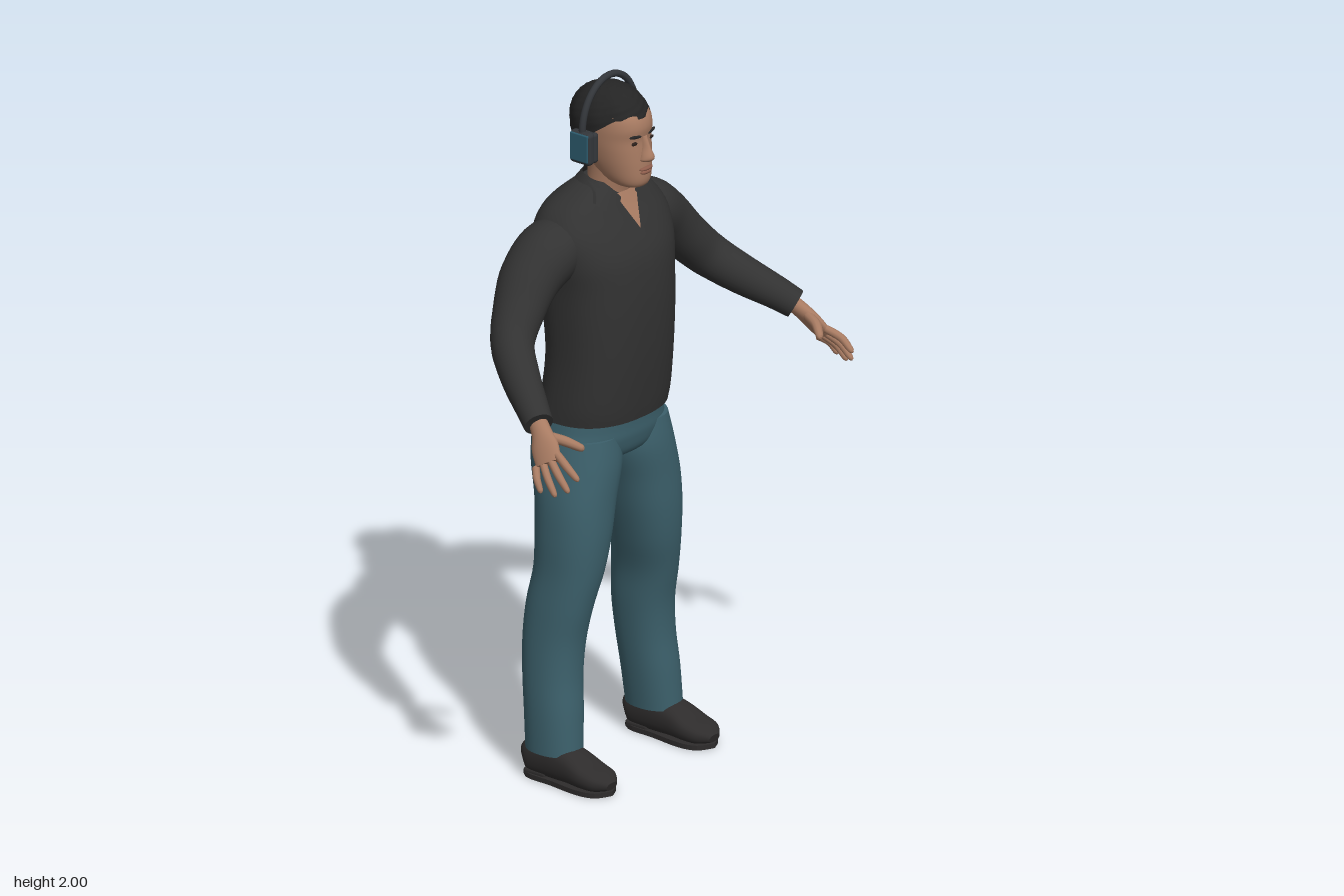
import * as THREE from 'three';
import { RoundedBoxGeometry } from 'three/addons/geometries/RoundedBoxGeometry.js';

const V = (x, y, z) => new THREE.Vector3(x, y, z);
const paint = (name, color) => Object.assign(new THREE.MeshStandardMaterial({ color }), { name });

// Smooth in-between rows of a table of section values
function smooth(rows, steps = 5) {
  const out = [];
  for (let i = 0; i < rows.length - 1; i++) {
    const a = rows[Math.max(i - 1, 0)], b = rows[i], c = rows[i + 1], d = rows[Math.min(i + 2, rows.length - 1)];
    for (let k = 0; k < steps; k++) {
      const t = k / steps;
      out.push(b.map((p, j) => {
        const cubic = 3 * (p - c[j]) + d[j] - a[j];
        const square = 2 * a[j] - 5 * p + 4 * c[j] - d[j];
        return p + 0.5 * t * (c[j] - a[j] + t * (square + t * cubic));
      }));
    }
  }
  out.push(rows[rows.length - 1]);
  return out;
}

function finish(pos, idx) {
  const g = new THREE.BufferGeometry();
  g.setAttribute('position', new THREE.Float32BufferAttribute(pos, 3));
  g.setIndex(idx);
  g.computeVertexNormals();
  return g;
}

// Skin over closed rings of points, with end caps
function skinRings(rings) {
  const n = rings[0].length, pos = [], idx = [];
  rings.forEach(r => r.forEach(p => pos.push(p.x, p.y, p.z)));
  for (let i = 0; i < rings.length - 1; i++) for (let j = 0; j < n; j++) {
    const a = i * n + j, b = i * n + (j + 1) % n;
    idx.push(a, b, b + n, a, b + n, a + n);
  }
  [rings[0], rings[rings.length - 1]].forEach((ring, end) => {
    const c = ring.reduce((s, p) => s.add(p), V(0, 0, 0)).divideScalar(n), base = pos.length / 3;
    [...ring, c].forEach(p => pos.push(p.x, p.y, p.z));
    for (let j = 0; j < n; j++) {
      const k = (j + 1) % n;
      idx.push(base + n, base + (end ? j : k), base + (end ? k : j));
    }
  });
  return finish(pos, idx);
}

const round = (c, e) => Math.sign(c) * Math.abs(c) ** (2 / e);

// Upright loft; rows are [y, centre x, half width, z front, z back]
function loft(rows, e = 2.3, n = 36) {
  return skinRings(smooth(rows).map(([y, cx, rx, zf, zb]) => Array.from({ length: n }, (_, j) => {
    const a = j / n * Math.PI * 2;
    return V(cx + rx * round(Math.sin(a), e), y, (zf + zb) / 2 + (zf - zb) / 2 * round(Math.cos(a), e));
  })));
}

// Limb along a path; rows are [x, y, z, half width, half height]
function limb(rows, { up = V(0, 1, 0), e = 2, n = 20, floor = -9 } = {}) {
  const s = smooth(rows);
  return skinRings(s.map((r, i) => {
    const p = s[Math.max(i - 1, 0)], q = s[Math.min(i + 1, s.length - 1)];
    const t = V(q[0] - p[0], q[1] - p[1], q[2] - p[2]).normalize();
    const e1 = t.clone().cross(up).normalize(), e2 = t.clone().cross(e1);
    return Array.from({ length: n }, (_, j) => {
      const a = j / n * Math.PI * 2;
      const v = V(r[0], r[1], r[2]).addScaledVector(e1, r[3] * round(Math.cos(a), e)).addScaledVector(e2, r[4] * round(Math.sin(a), e));
      v.y = Math.max(v.y, floor);
      return v;
    });
  }));
}

// Open sheet from a function of u and v
function sheet(fn, nu, nv) {
  const pos = [], idx = [];
  for (let i = 0; i <= nv; i++) for (let j = 0; j <= nu; j++) {
    pos.push(...fn(j / nu, i / nv));
    const a = i * (nu + 1) + j, b = a + nu + 1;
    if (i < nv && j < nu) idx.push(a, a + 1, b + 1, a, b + 1, b);
  }
  return finish(pos, idx);
}

function mirrored(geo) {
  const g = geo.clone().scale(-1, 1, 1);
  if (!g.index) g.setIndex([...Array(g.attributes.position.count).keys()]);
  const a = g.index.array;
  for (let i = 0; i < a.length; i += 3) [a[i], a[i + 1]] = [a[i + 1], a[i]];
  return g;
}

const blob = (x, y, z, rx, ry, rz) => new THREE.SphereGeometry(1, 20, 12).scale(rx, ry, rz).translate(x, y, z);

export function createModel() {
  const model = new THREE.Group();
  const shirt = paint('shirt charcoal', 0x323232), denim = paint('trouser teal', 0x3c606b);
  const skin = paint('skin', 0xa87b62), hair = paint('hair black', 0x242424), shoe = paint('shoe black', 0x2e2c2c);
  const plastic = paint('headphone grey', 0x33363a), teal = paint('headphone teal', 0x2c5a6c);
  const lip = paint('lips', 0x8c5c4b), dark = paint('eye brown', 0x2c211c);
  shirt.side = hair.side = THREE.DoubleSide;

  const add = (name, geo, mat) => {
    const m = new THREE.Mesh(geo, mat);
    m.name = name;
    model.add(m);
  };
  const pair = (name, geo, mat) => {
    add('left ' + name, geo, mat);
    add('right ' + name, mirrored(geo), mat);
  };

  // Shirt body
  const torso = [[1.025, 0, 0.196, 0.03, -0.28], [1.08, 0, 0.196, 0.038, -0.25], [1.2, 0, 0.192, 0.05, -0.235],
    [1.32, 0, 0.195, 0.055, -0.245], [1.42, 0, 0.2, 0.052, -0.258], [1.5, 0, 0.213, 0.04, -0.262], [1.57, 0, 0.218, 0.01, -0.26],
    [1.63, 0, 0.182, -0.022, -0.238], [1.675, 0, 0.118, -0.043, -0.195], [1.7, 0, 0.07, -0.055, -0.16]];
  add('shirt body', loft(torso, 2.4, 48), shirt);
  const levels = smooth(torso);
  const chestZ = (x, height) => {
    const y = Math.min(height, 1.699), i = Math.max(levels.findIndex(r => r[0] > y), 1), p = levels[i - 1], q = levels[i];
    const t = (y - p[0]) / (q[0] - p[0]), [, , rx, zf, zb] = p.map((v, k) => v + (q[k] - v) * t);
    return (zf + zb) / 2 + (zf - zb) / 2 * Math.max(0, 1 - Math.abs(x / rx) ** 2.4) ** (1 / 2.4);
  };
  // Button strip and open neckline follow the chest
  const onChest = (x, y, off) => [x, y, chestZ(x, y) + off];
  add('button strip', sheet((u, v) => onChest(-0.015 + 0.03 * u, 1.028 + 0.545 * v, 0.004), 4, 40), shirt);
  add('open neckline', sheet((u, v) => onChest((u - 0.5) * 0.09 * v, 1.57 + 0.1 * v, 0.006), 8, 12), skin);
  // Folded collar
  add('collar', sheet((u, v) => {
    const t = u * 2 - 1, a = t * 2.72, f = t ** 4, s = Math.sin(a), c = Math.cos(a);
    const x = s * (0.108 - 0.036 * v) + Math.sign(t) * 0.028 * f * (1 - v), y = 1.665 - 0.055 * f + v * 0.05;
    const z = -0.112 + 0.014 * v - c * (0.092 - 0.024 * v);
    return [x, y, c < 0 ? Math.max(z, chestZ(x, y) + 0.009) : z];
  }, 48, 6), shirt);

  // Sleeves
  pair('sleeve', limb([[0.12, 1.555, -0.13, 0.08, 0.06], [0.2, 1.528, -0.137, 0.094, 0.086], [0.28, 1.475, -0.14, 0.086, 0.08],
    [0.35, 1.405, -0.123, 0.072, 0.068], [0.415, 1.335, -0.092, 0.06, 0.062], [0.47, 1.277, -0.02, 0.054, 0.055],
    [0.52, 1.228, 0.06, 0.046, 0.046], [0.548, 1.197, 0.108, 0.041, 0.041]], { n: 28 }), shirt);

  // Hands
  const palmNormal = V(0.03, -0.045, -0.055).cross(V(0.035, -0.07, 0.06));
  pair('palm', limb([[0.54, 1.205, 0.095, 0.026, 0.022], [0.556, 1.178, 0.125, 0.03, 0.021], [0.572, 1.148, 0.15, 0.041, 0.018],
    [0.589, 1.113, 0.176, 0.039, 0.013]], { up: palmNormal }), skin);
  const finger = (a, b, r) => limb([[...a, r, r], [(a[0] + b[0]) / 2 + 0.006, (a[1] + b[1]) / 2 + 0.006, (a[2] + b[2]) / 2, r, r],
    [...b.map((v, i) => v + (a[i] - v) * 0.1), r * 0.75, r * 0.75], [...b, r * 0.25, r * 0.25]], { n: 10 });
  [[0.587, 1.088, 0.278], [0.607, 1.055, 0.26], [0.624, 1.04, 0.228], [0.635, 1.045, 0.186]].forEach((tip, i) => {
    const k = i / 3;
    pair('finger ' + (i + 1), finger([0.573 + 0.028 * k, 1.138 - 0.043 * k, 0.194 - 0.052 * k], tip, 0.0115 - 0.001 * k), skin);
  });
  pair('thumb', finger([0.55, 1.172, 0.15], [0.505, 1.143, 0.232], 0.014), skin);

  // Trousers: seat and legs
  add('trouser seat', loft([[0.89, 0, 0.07, -0.06, -0.17], [0.915, 0, 0.15, -0.01, -0.235], [0.96, 0, 0.2, 0.006, -0.258],
    [1.0, 0, 0.197, 0.008, -0.26], [1.05, 0, 0.188, 0.01, -0.245]], 2.4, 44), denim);
  // Each row: y, inner x, outer x, front z, back z
  const legRows = [[0.085, 0.148, 0.278, -0.028, -0.195], [0.2, 0.135, 0.276, -0.035, -0.204], [0.3, 0.125, 0.27, -0.044, -0.215],
    [0.4, 0.115, 0.263, -0.04, -0.221], [0.5, 0.106, 0.256, -0.02, -0.215], [0.6, 0.08, 0.247, 0, -0.201],
    [0.7, 0.055, 0.245, 0.01, -0.204], [0.8, 0.032, 0.238, 0.011, -0.213], [0.9, 0.0, 0.22, 0.01, -0.246], [0.98, 0.005, 0.2, 0, -0.252]];
  pair('trouser leg', loft(legRows.map(([y, i, o, f, b]) => [y, (i + o) / 2, (o - i) / 2, f, b]), 2.2), denim);

  // Shoes with flat soles
  pair('shoe', limb([[0.217, 0.05, -0.195, 0.03, 0.03], [0.217, 0.055, -0.175, 0.046, 0.05], [0.217, 0.06, -0.1, 0.052, 0.055],
    [0.218, 0.055, -0.04, 0.054, 0.048], [0.219, 0.042, 0.02, 0.058, 0.034], [0.219, 0.035, 0.065, 0.05, 0.026],
    [0.219, 0.028, 0.094, 0.022, 0.012]], { e: 2.5, n: 24, floor: 0.012 }), shoe);
  const soleCurve = new THREE.SplineCurve([[0, 0.096], [0.045, 0.07], [0.059, 0.015], [0.05, -0.08], [0.044, -0.17], [0, -0.196],
    [-0.044, -0.17], [-0.05, -0.08], [-0.059, 0.015], [-0.045, 0.07], [0, 0.096]].map(p => new THREE.Vector2(...p)));
  pair('shoe sole', new THREE.ExtrudeGeometry(new THREE.Shape(soleCurve.getPoints(40)), { depth: 0.014, bevelEnabled: false })
    .rotateX(Math.PI / 2).translate(0.218, 0.014, 0), shoe);
  pair('shoe heel', new RoundedBoxGeometry(0.088, 0.026, 0.08, 2, 0.01).translate(0.217, 0.013, -0.145), shoe);

  // Neck and head
  add('neck', loft([[1.62, 0, 0.07, -0.04, -0.17], [1.67, 0, 0.06, -0.034, -0.158], [1.72, 0, 0.057, -0.02, -0.155], [1.77, 0, 0.058, -0.01, -0.16]], 2), skin);
  add('head', loft([[1.692, 0, 0.022, 0.012, -0.035], [1.7, 0, 0.043, 0.028, -0.07], [1.72, 0, 0.058, 0.036, -0.11],
    [1.76, 0, 0.071, 0.036, -0.15], [1.8, 0, 0.079, 0.033, -0.17], [1.835, 0, 0.083, 0.03, -0.18], [1.87, 0, 0.084, 0.034, -0.185],
    [1.905, 0, 0.08, 0.022, -0.18], [1.94, 0, 0.062, -0.015, -0.15]], 2.2), skin);
  add('nose', loft([[1.771, 0, 0.008, 0.042, 0.015], [1.778, 0, 0.021, 0.056, 0.01], [1.79, 0, 0.019, 0.061, 0.01],
    [1.815, 0, 0.011, 0.049, 0.01], [1.845, 0, 0.009, 0.036, 0.01]], 1.8, 20), skin);
  add('upper lip', blob(0, 1.752, 0.034, 0.026, 0.006, 0.011), lip);
  add('lower lip', blob(0, 1.742, 0.034, 0.022, 0.007, 0.01), lip);
  pair('eye', blob(0.033, 1.829, 0.0225, 0.013, 0.0055, 0.004), dark);
  pair('eyebrow', blob(0, 0, 0, 0.021, 0.0045, 0.005).rotateZ(0.08).rotateY(0.25).translate(0.034, 1.849, 0.0255), hair);

  // Short hair cap with an uneven surface; hairline drops towards the nape
  add('hair', sheet((u, v) => {
    const a = u * Math.PI * 2, c = Math.cos(a);
    const line = c > 0 ? 1.845 + 0.052 * Math.min(1, c * 1.6) : 1.845 + 0.09 * c;
    const low = line > 1.87 ? 0.105 : 0.17, phi = Math.acos((line - 1.87) / low) * Math.min(1, (1 - v) * 1.08);
    const k = Math.cos(phi), r = Math.sin(phi) * (v === 0 ? 0.88 : 1);
    const bump = 1 + 0.018 * Math.sin(9 * a + 14 * phi) * Math.sin(17 * phi + 2) * Math.sin(phi);
    return [Math.sin(a) * r * 0.092 * bump, 1.87 + k * (k > 0 ? 0.103 : 0.17) * bump, -0.09 + c * r * 0.121 * bump];
  }, 72, 28), hair);

  // Headphones: band, cushions, cups and coloured covers
  const arc = Array.from({ length: 25 }, (_, i) => {
    const a = i / 24 * Math.PI;
    return V(Math.cos(a) * 0.114, 1.855 + Math.sin(a) * 0.135, -0.095);
  });
  add('headphone band', new THREE.TubeGeometry(new THREE.CatmullRomCurve3(arc), 48, 0.0098, 10), plastic);
  pair('ear cushion', new RoundedBoxGeometry(0.022, 0.088, 0.066, 3, 0.01).translate(0.091, 1.812, -0.095), plastic);
  pair('ear cup', new RoundedBoxGeometry(0.03, 0.094, 0.072, 3, 0.012).translate(0.114, 1.815, -0.095), plastic);
  pair('ear cup cover', new RoundedBoxGeometry(0.008, 0.08, 0.062, 2, 0.003).translate(0.127, 1.818, -0.095), teal);

  return model;
}
